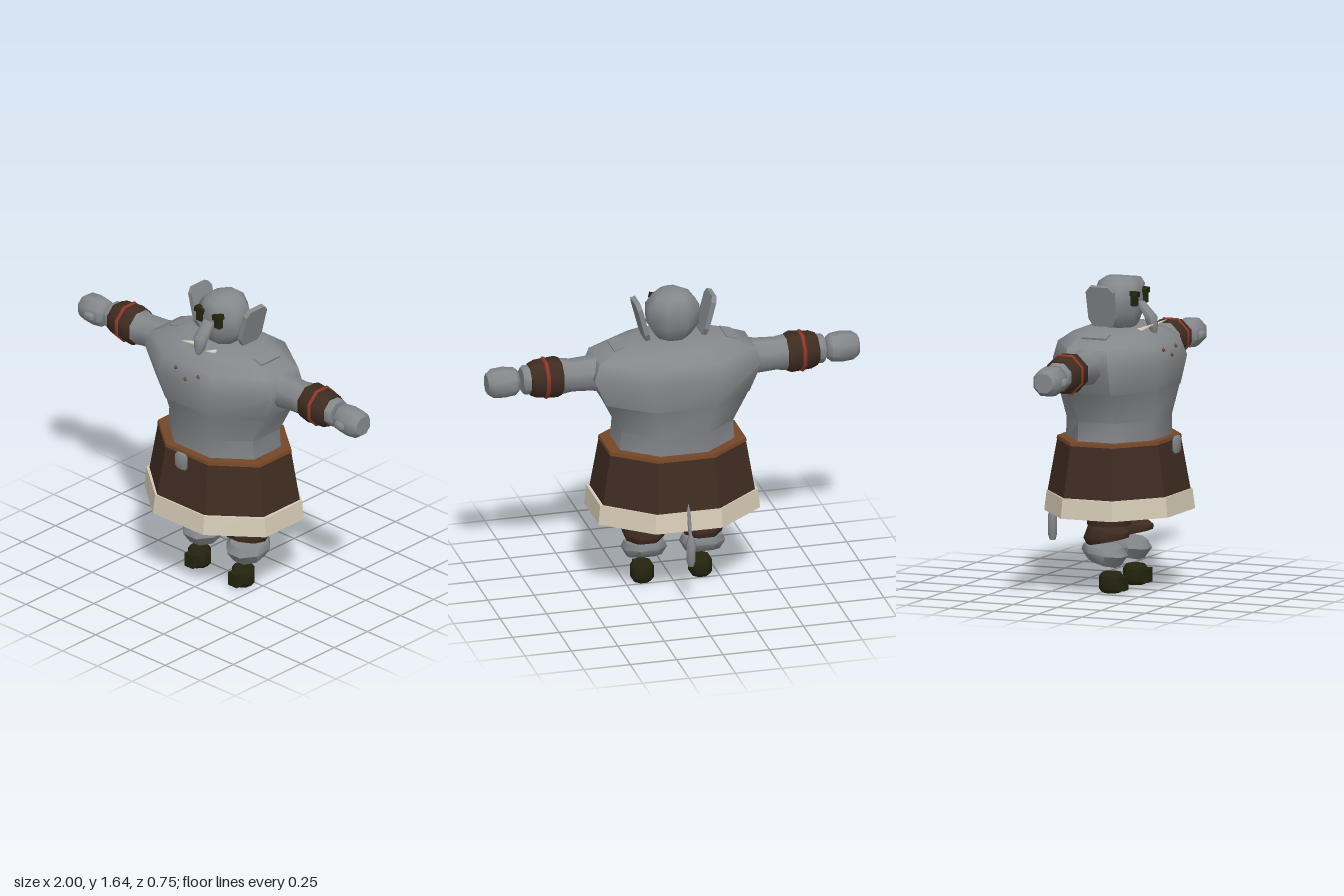
import * as THREE from 'three';
import { toCreasedNormals } from 'three/addons/utils/BufferGeometryUtils.js';

const mat = (name, color, side = THREE.FrontSide) => {
  const m = new THREE.MeshStandardMaterial({ color, side });
  m.name = name;
  return m;
};

// Stack of eight-sided rings: [y, halfWidth, centreZ, halfDepth, slope of y along z]
function loft(rings, crease = 0.9, n = 8) {
  const k = 1 / Math.cos(Math.PI / n);
  const point = ([y, rx, cz, rz, slope = 0], i) => {
    const a = ((i + 0.5) / n) * Math.PI * 2;
    const dz = Math.cos(a) * rz * k;
    return [Math.sin(a) * rx * k, y + slope * dz, cz + dz];
  };
  const pos = [];
  const tri = (...p) => p.forEach((q) => pos.push(...q));
  const last = rings[rings.length - 1];
  for (let i = 0; i < n; i++) {
    for (let j = 0; j < rings.length - 1; j++) {
      const a = point(rings[j], i), b = point(rings[j], i + 1);
      const c = point(rings[j + 1], i + 1), d = point(rings[j + 1], i);
      tri(a, b, c);
      tri(a, c, d);
    }
    tri([0, last[0], last[2]], point(last, i), point(last, i + 1));
    tri([0, rings[0][0], rings[0][2]], point(rings[0], i + 1), point(rings[0], i));
  }
  const g = new THREE.BufferGeometry();
  g.setAttribute('position', new THREE.Float32BufferAttribute(pos, 3));
  return toCreasedNormals(g, crease);
}

// Loft along +x, round in section: [x, radius]
const limb = (stations) =>
  loft(stations.map(([x, r]) => [x, r, 0, r])).rotateZ(-Math.PI / 2);

// Tapered rod between two points
function rod(a, b, r0, r1, sides = 6) {
  const A = new THREE.Vector3(...a), B = new THREE.Vector3(...b);
  const dir = B.clone().sub(A);
  const g = new THREE.CylinderGeometry(r1, r0, dir.length(), sides);
  g.applyQuaternion(new THREE.Quaternion().setFromUnitVectors(new THREE.Vector3(0, 1, 0), dir.normalize()));
  const mid = A.add(B).multiplyScalar(0.5);
  return g.translate(mid.x, mid.y, mid.z);
}

// Reflected copy across x = 0 with corner order restored
function mirrored(geo) {
  const g = geo.index ? geo.toNonIndexed() : geo.clone();
  for (const key of ['position', 'normal']) {
    const at = g.attributes[key], src = at.array.slice();
    for (let t = 0; t < at.count; t += 3) {
      [0, 2, 1].forEach((s, d) => {
        const o = (t + s) * 3;
        at.setXYZ(t + d, -src[o], src[o + 1], src[o + 2]);
      });
    }
  }
  return g;
}

export function createModel() {
  const group = new THREE.Group();
  const skin = mat('grey skin', 0x85888b);
  const leather = mat('dark leather', 0x3f2c21);
  const trim = mat('belt brown', 0x754727);
  const fur = mat('cream hem', 0xd6cbb6);
  const red = mat('red band', 0x90392a);
  const dark = mat('dark olive', 0x24240f);
  const ivory = mat('ivory', 0xe6dcc4);

  const add = (name, geo, m) => {
    const mesh = new THREE.Mesh(geo, m);
    mesh.name = name;
    group.add(mesh);
  };
  const pair = (name, geo, m) => {
    add(name + 'Left', geo, m);
    add(name + 'Right', mirrored(geo), m);
  };

  // Torso
  add('belly', loft([
    [0.78, 0.31, 0.025, 0.245], [0.91, 0.3, 0.025, 0.245], [1.07, 0.38, 0.025, 0.275],
  ]), skin);
  add('chest', loft([
    [1.07, 0.385, 0.026, 0.278], [1.22, 0.45, 0.03, 0.3], [1.31, 0.42, 0.025, 0.272],
    [1.36, 0.31, 0.02, 0.2], [1.38, 0.23, 0.02, 0.15],
  ]), skin);
  pair('shoulderPad', new THREE.BoxGeometry(0.06, 0.025, 0.14).rotateZ(-0.25).translate(0.3, 1.356, 0.025), skin);
  for (const [x, y, z] of [[-0.08, 1.28, 0.31], [0.08, 1.28, 0.31], [0, 1.245, 0.324]]) {
    add('chestStud', new THREE.OctahedronGeometry(0.013).translate(x, y, z), trim);
  }

  // Skirt, hem and belt
  add('skirt', loft([[0.5, 0.412, 0.025, 0.335], [0.795, 0.365, 0.025, 0.285]], 0.4), leather);
  add('hem', loft([[0.415, 0.435, 0.028, 0.35], [0.52, 0.425, 0.028, 0.337]], 0.4), fur);
  add('belt', loft([[0.79, 0.369, 0.025, 0.289], [0.808, 0.366, 0.025, 0.286]], 0.4), trim);
  add('buckle', loft([
    [0.73, 0.03, 0.352, 0.008], [0.745, 0.04, 0.352, 0.013],
    [0.805, 0.04, 0.352, 0.013], [0.82, 0.03, 0.352, 0.008],
  ]), skin);

  // Arms
  const arm = (name, geo, m) => pair(name, geo.translate(0, 1.22, 0.02), m);
  arm('upperArm', limb([[0.36, 0.1], [0.45, 0.085], [0.55, 0.08], [0.62, 0.09]]), skin);
  arm('bracer', limb([[0.605, 0.09], [0.63, 0.1], [0.74, 0.092], [0.775, 0.078]]), leather);
  arm('armBand', new THREE.TorusGeometry(0.1, 0.012, 6, 8)
    .rotateZ(Math.PI / 8).rotateY(Math.PI / 2).translate(0.69, 0, 0), red);
  arm('wrist', limb([[0.76, 0.07], [0.8, 0.072], [0.815, 0.062]]), skin);
  arm('hand', limb([[0.83, 0.052], [0.85, 0.068], [0.91, 0.075], [0.97, 0.07], [1, 0.05]])
    .translate(0, -0.005, 0.01), skin);
  arm('thumb', limb([[0.865, 0.015], [0.877, 0.026], [0.92, 0.026], [0.932, 0.015]])
    .translate(0, -0.012, 0.072), skin);

  // Head
  add('head', loft([
    [1.36, 0.06, 0.03, 0.06], [1.4, 0.095, 0.03, 0.09], [1.46, 0.132, 0.025, 0.112],
    [1.56, 0.135, 0.025, 0.116], [1.615, 0.095, 0.025, 0.1], [1.64, 0.05, 0.022, 0.065],
  ], 1.1), skin);
  add('trunk', loft([
    [1.355, 0.014, 0.225, 0.012], [1.39, 0.03, 0.215, 0.025],
    [1.44, 0.04, 0.205, 0.03], [1.515, 0.034, 0.145, 0.02],
  ]), skin);
  pair('tusk', rod([0.065, 1.36, 0.15], [0.085, 1.415, 0.26], 0.018, 0.001), ivory);
  pair('eye', new THREE.BoxGeometry(0.036, 0.06, 0.03).translate(0.066, 1.53, 0.14), dark);
  pair('brow', new THREE.BoxGeometry(0.056, 0.028, 0.036).rotateZ(0.2).translate(0.064, 1.562, 0.142), dark);

  // Ears: chamfered plates leaning outward
  const earShape = new THREE.Shape([
    [-0.055, -0.11], [0.055, -0.11], [0.077, -0.07], [0.077, 0.08],
    [0.052, 0.11], [-0.052, 0.11], [-0.077, 0.08], [-0.077, -0.07],
  ].map(([x, y]) => new THREE.Vector2(x, y)));
  pair('ear', new THREE.ExtrudeGeometry(earShape, { depth: 0.026, bevelEnabled: false })
    .translate(0, 0, -0.013).rotateY(Math.PI / 2).rotateZ(-0.256).translate(0.178, 1.506, 0.003), skin);

  // Legs
  const leg = (name, geo, m) => pair(name, geo.translate(0.157, 0, 0), m);
  leg('thigh', loft([[0.355, 0.1, 0.035, 0.105], [0.5, 0.11, 0.042, 0.115]]), leather);
  leg('knee', loft([
    [0.268, 0.1, 0.03, 0.1, 0.2], [0.295, 0.108, 0.022, 0.112, 0.08], [0.337, 0.1, 0.035, 0.098, -0.22],
  ]), leather);
  leg('shin', loft([
    [0.158, 0.085, 0.005, 0.08, -0.3], [0.208, 0.113, 0.012, 0.112, -0.16], [0.245, 0.1, 0.005, 0.095, -0.13],
  ]), skin);
  leg('foot', loft([
    [0, 0.045, 0.05, 0.045], [0.02, 0.058, 0.05, 0.06],
    [0.085, 0.058, 0.05, 0.06], [0.107, 0.045, 0.05, 0.045],
  ]), dark);
  leg('toe', new THREE.BoxGeometry(0.06, 0.075, 0.05).translate(0, 0.05, 0.107), dark);

  // Tail
  add('tail', rod([0, 0.6, -0.275], [0, 0.37, -0.35], 0.012, 0.009), skin);
  add('tailTuft', loft([
    [0.23, 0.014, -0.352, 0.014], [0.26, 0.022, -0.353, 0.022],
    [0.36, 0.024, -0.353, 0.022], [0.4, 0.01, -0.35, 0.01],
  ]), skin);

  return group;
}
